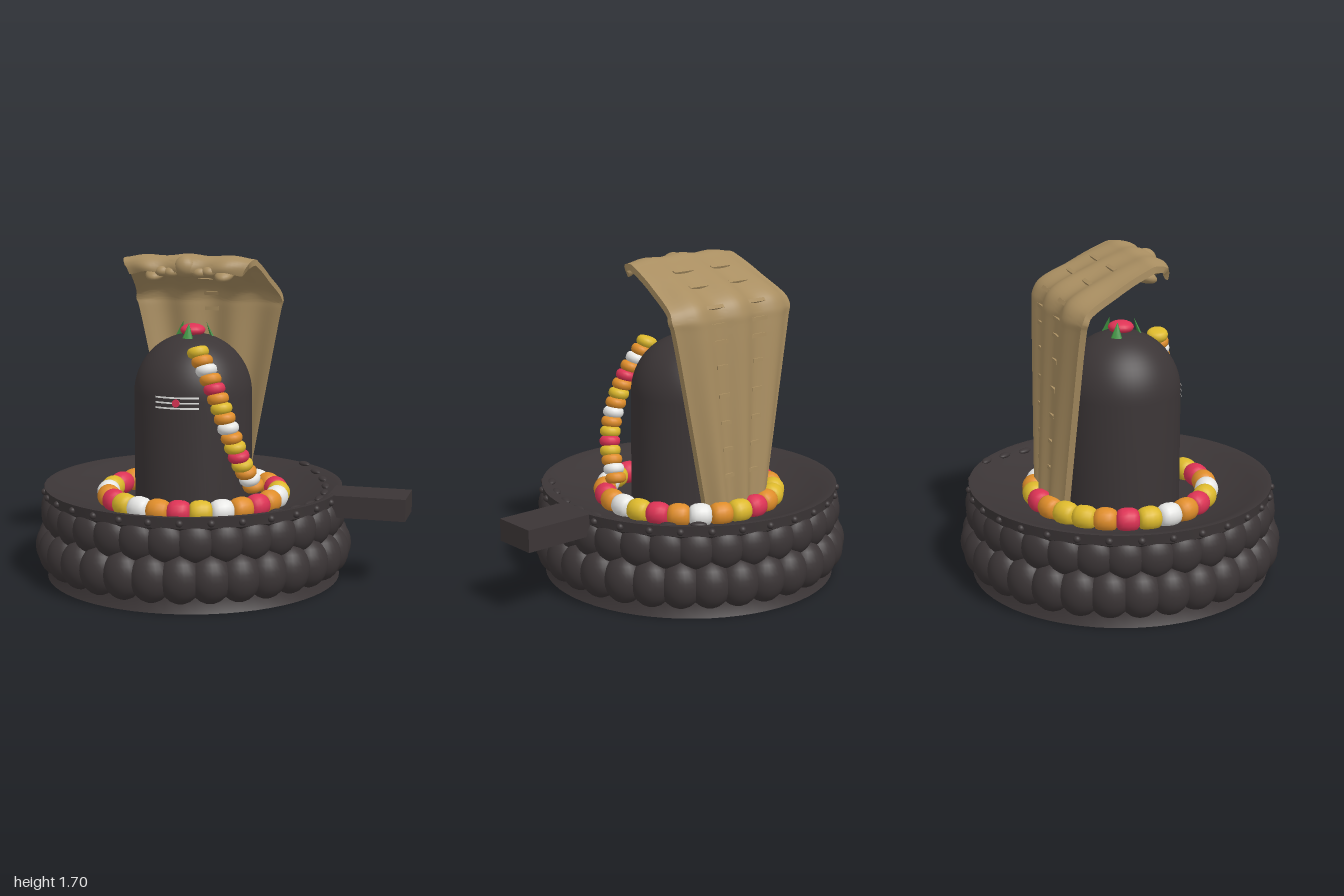
import * as THREE from 'three';
import { toCreasedNormals } from 'three/addons/utils/BufferGeometryUtils.js';

const CX = -0.15; // axis of the round base
const { smoothstep } = THREE.MathUtils;
const mat = (name, color, side = THREE.FrontSide) => {
  const m = new THREE.MeshStandardMaterial({ color, side });
  m.name = name;
  return m;
};

export function createModel() {
  const root = new THREE.Group();
  root.name = 'shrine';
  const stone = mat('dark stone', 0x3b3536);
  const brass = mat('tan brass', 0xa98e61, THREE.DoubleSide);
  const white = mat('white', 0xe8e8e6, THREE.DoubleSide);
  const red = mat('red', 0xdd3355);
  const green = mat('leaf green', 0x3d9140);
  const beadMats = { Y: mat('yellow', 0xddb92c), O: mat('orange', 0xdf8d2a), W: white, R: red };

  const add = (parent, name, geo, material, x = 0, y = 0, z = 0) => {
    const m = new THREE.Mesh(geo, material);
    m.name = name;
    m.position.set(x, y, z);
    parent.add(m);
    return m;
  };
  const group = (name, x = 0) => {
    const g = new THREE.Group();
    g.name = name;
    g.position.x = x;
    root.add(g);
    return g;
  };
  const lathe = (pts, crease, sides = 64) => toCreasedNormals(
    new THREE.LatheGeometry(pts.map(p => new THREE.Vector2(...p)), sides), crease);
  const ball = new THREE.SphereGeometry(1, 20, 14);
  const halfBall = new THREE.SphereGeometry(1, 12, 12, 0, Math.PI); // bulges to +z

  // Base: flat bottom, waisted wall and a shallow dish on top
  const base = group('base', CX);
  add(base, 'dishAndWall', lathe([[0, 0], [0.78, 0], [0.75, 0.06], [0.745, 0.4], [0.785, 0.43], [0.79, 0.485],
    [0.765, 0.485], [0.7, 0.45], [0.5, 0.39], [0.33, 0.36], [0, 0.36]], 0.5), stone);

  // Two staggered rows of petals and a row of studs under the rim
  const N = 32;
  const ring = (name, geo, r, y, scale, shift) => {
    for (let i = 0; i < N; i++) {
      const a = ((i + shift) / N) * Math.PI * 2;
      const m = add(base, name, geo, stone, Math.sin(a) * r, y, Math.cos(a) * r);
      m.rotation.y = a;
      m.scale.set(...scale);
    }
  };
  ring('lowerPetal', halfBall, 0.745, 0.168, [0.108, 0.125, 0.096], 0);
  ring('upperPetal', halfBall, 0.742, 0.352, [0.1, 0.105, 0.07], 0.5);
  ring('rimStud', ball, 0.788, 0.455, [0.018, 0.018, 0.018], 0);

  // Low bumps inside the dish beside the spout
  for (let i = -4; i <= 4; i++) {
    const a = i * 0.2 + 0.1, r = 0.7 + 0.08 * a * a;
    const m = add(base, 'dishBump', ball, stone, Math.cos(a) * r, 0.452 + (r - 0.7) * 0.54, -Math.sin(a) * r);
    m.rotation.y = a;
    m.scale.set(0.022, 0.014, 0.042);
  }

  // Spout
  add(root, 'spout', new THREE.BoxGeometry(0.4, 0.115, 0.24), stone, 0.8, 0.4275, 0);

  // Domed pillar
  const profile = [[0.31, 0.34]];
  for (let i = 0; i <= 16; i++) {
    const a = (i / 16) * Math.PI / 2;
    profile.push([0.31 * Math.cos(a), 0.97 + 0.315 * Math.sin(a)]);
  }
  const pillar = group('pillar', CX);
  add(pillar, 'dome', lathe(profile, 1), stone);

  // Three painted lines and a dot
  for (const y of [0.933, 0.96, 0.987]) {
    add(pillar, 'paintedLine',
      new THREE.CylinderGeometry(0.314, 0.314, 0.009, 20, 1, true, -0.375, 0.75), white, 0, y, 0);
  }
  const dot = add(pillar, 'paintedDot', new THREE.CylinderGeometry(0.02, 0.02, 0.008, 20), red, 0, 0.96, 0.316);
  dot.rotation.x = Math.PI / 2;

  // Flower and three leaves on the dome
  add(pillar, 'flower', ball, red, 0, 1.3, 0.003).scale.set(0.066, 0.034, 0.066);
  const leafGeo = new THREE.ConeGeometry(0.032, 0.09, 8);
  for (let i = 0; i < 3; i++) {
    const pivot = new THREE.Group();
    pivot.name = 'leafPivot';
    pivot.rotation.y = (i / 3) * Math.PI * 2;
    pillar.add(pivot);
    const leaf = add(pivot, 'leaf', leafGeo, green, 0, 1.3, 0.088);
    leaf.rotation.x = -0.35;
    leaf.scale.z = 0.25;
  }

  // Barrel-shaped flower bead, axis along y
  const beadGeo = lathe([[0, -1], [0.55, -0.98], [0.8, -0.82], [0.95, -0.48], [1, 0],
    [0.95, 0.48], [0.8, 0.82], [0.55, 0.98], [0, 1]], 1, 20);
  const up = new THREE.Vector3(0, 1, 0);
  const bead = (parent, colour, position, axis, radius, half) => {
    const m = add(parent, 'bead', beadGeo, beadMats[colour]);
    m.position.copy(position);
    m.quaternion.setFromUnitVectors(up, axis.normalize());
    m.scale.set(radius, half, radius);
  };

  // Garland lying in the dish, starting at the back and running towards -x
  const garland = group('garland', CX);
  [...'ROYYORYWORYWORYWOROWYROWOY'].forEach((c, i, all) => {
    const a = Math.PI + ((i + 0.5) / all.length) * Math.PI * 2;
    bead(garland, c, new THREE.Vector3(Math.sin(a) * 0.453, 0.43, Math.cos(a) * 0.453),
      new THREE.Vector3(Math.cos(a), 0, -Math.sin(a)), 0.062, 0.058);
  });

  // Garland strand hanging down the pillar
  const strand = group('garlandStrand');
  const path = new THREE.CatmullRomCurve3([
    [-0.055, 1.215, 0.235], [0.04, 1.05, 0.285], [0.12, 0.85, 0.305],
    [0.175, 0.68, 0.272], [0.22, 0.525, 0.17]].map(p => new THREE.Vector3(...p)));
  [...'YOWOROYOWOYRYOWO'].forEach((c, i, all) => {
    const t = i / (all.length - 1);
    bead(strand, c, path.getPointAt(t), path.getTangentAt(t).negate().add(up), 0.056, 0.029);
  });

  // Serpent hood: a ribbed sheet swept along a path of (half width, y, z)
  const hood = group('hood', CX);
  const spine = new THREE.CatmullRomCurve3([
    [0.2, 0.38, -0.412], [0.3, 0.9, -0.394], [0.395, 1.38, -0.374], [0.41, 1.44, -0.368],
    [0.405, 1.5, -0.335], [0.375, 1.595, -0.15], [0.358, 1.658, 0.0], [0.35, 1.68, 0.06],
    [0.335, 1.665, 0.13], [0.3, 1.61, 0.165]].map(p => new THREE.Vector3(...p)));
  const frame = t => {
    const p = spine.getPoint(t), d = spine.getTangent(t), l = Math.hypot(d.y, d.z);
    return { p, ny: -d.z / l, nz: d.y / l };
  };
  // Ribs and curled edges are deep on the back, flat on the top, and return at the lip
  const hoodPoint = (t, u, depth) => {
    const { p, ny, nz } = frame(t);
    const flat = smoothstep(t, 0.38, 0.68);
    const rib = 0.018 - 0.013 * flat + 0.01 * smoothstep(t, 0.85, 1);
    const o = (0.036 - 0.022 * flat) * u * u - rib * Math.cos(3 * Math.PI * u) + depth;
    return [p.x * u, p.y + ny * o, p.z + nz * o];
  };
  const ROWS = 60, COLS = 36, LOOP = 2 * (COLS + 1);
  const pos = [], idx = [];
  for (let i = 0; i <= ROWS; i++) {
    const t = i / ROWS;
    const thick = 0.032 * Math.min(1, Math.sqrt((1 - t) * 20));
    for (let j = 0; j < LOOP; j++) {
      const outer = j <= COLS;
      const u = outer ? -1 + 2 * j / COLS : 1 - 2 * (j - COLS - 1) / COLS;
      pos.push(...hoodPoint(t, u, outer ? -thick / 2 : thick / 2));
      if (i === ROWS) continue;
      const k = (j + 1) % LOOP, a = i * LOOP + j, d = i * LOOP + k;
      idx.push(a, a + LOOP, d + LOOP, a, d + LOOP, d);
    }
  }
  const sheet = new THREE.BufferGeometry();
  sheet.setAttribute('position', new THREE.Float32BufferAttribute(pos, 3));
  sheet.setIndex(idx);
  add(hood, 'hoodSheet', toCreasedNormals(sheet, 0.9), brass);

  // Scale bars bridging the two outer grooves, and a few on the inner face
  const bar = (t, u, depth, width) => {
    const { ny, nz } = frame(t);
    const m = add(hood, 'scaleBar', new THREE.BoxGeometry(width, 0.02, 0.016), brass, ...hoodPoint(t, u, depth));
    m.rotation.x = Math.atan2(-ny, nz);
  };
  for (const t of [0.05, 0.08, 0.11, 0.14, 0.17, 0.2, 0.25, 0.42, 0.52, 0.6]) {
    for (const s of [-1, 1]) bar(t, s * 0.35, -0.02, t < 0.18 ? 0.07 : 0.125);
  }
  for (const t of [0.22, 0.37, 0.5]) bar(t, 0, 0.016, 0.1);

  // Small heads under the front edge of the hood: [x, y, z, sx, sy, sz]
  for (const [x, y, z, sx, sy, sz] of [[0.075, 1.615, 0.13, 0.042, 0.03, 0.045],
    [0.125, 1.62, 0.13, 0.04, 0.03, 0.045], [0.185, 1.597, 0.055, 0.05, 0.032, 0.075]]) {
    for (const s of [-1, 1]) {
      const m = add(hood, 'sideHead', ball, brass, s * x, y, z);
      m.scale.set(sx, sy, sz);
      m.rotation.x = 0.35;
    }
  }
  add(hood, 'middleHead', ball, brass, 0, 1.638, 0.13).scale.set(0.06, 0.058, 0.058);
  return root;
}
